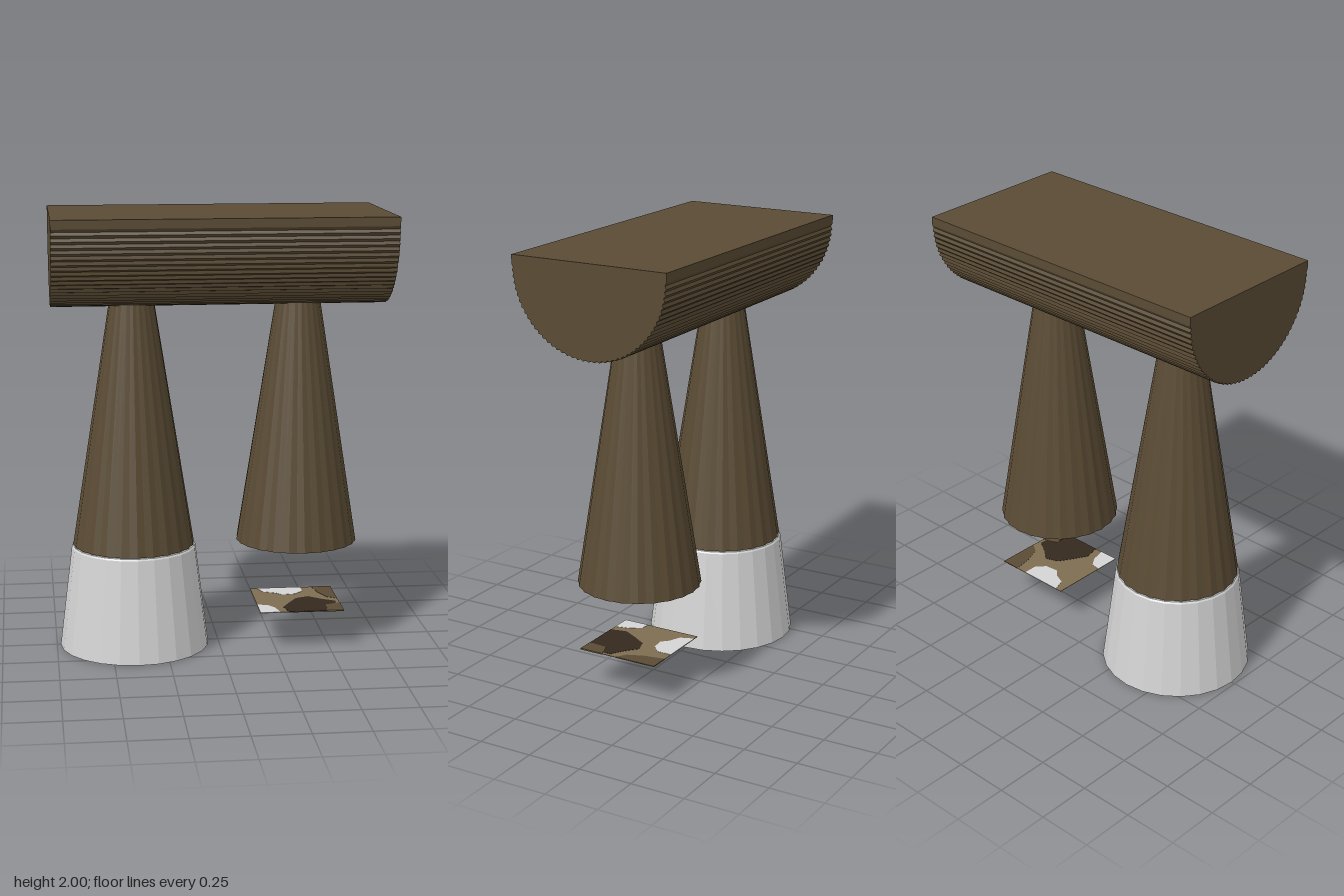
import * as THREE from 'three';

const mat = (name, color, extra = {}) => {
  const m = new THREE.MeshStandardMaterial({ color, ...extra });
  m.name = name;
  return m;
};

export function createModel() {
  const group = new THREE.Group();
  const wood = mat('brown wood', 0x5a4b34, { side: THREE.DoubleSide, flatShading: true });
  const white = mat('pale grey', 0xd4d4d4, { flatShading: true });
  const tan = mat('tan', 0x7e6e52);
  const dark = mat('dark brown', 0x35291f);

  const add = (name, geometry, material, x = 0, y = 0, z = 0) => {
    const mesh = new THREE.Mesh(geometry, material);
    mesh.name = name;
    mesh.position.set(x, y, z);
    group.add(mesh);
  };

  // Half-log seat: flat top, finely notched round underside
  const R = 0.378, cy = 1.96, steps = 44;
  const profile = [new THREE.Vector2(-R, 2)];
  for (let i = 0; i <= steps * 2; i++) {
    const a = Math.PI + (i / (steps * 2)) * Math.PI;
    const r = i % 2 ? R - 0.008 : R;
    profile.push(new THREE.Vector2(Math.cos(a) * r, cy + Math.sin(a) * r));
  }
  profile.push(new THREE.Vector2(R, 2));
  const seat = new THREE.ExtrudeGeometry(new THREE.Shape(profile), { depth: 1.51, bevelEnabled: false });
  seat.translate(0, 0, -0.755).rotateY(Math.PI / 2);
  add('seat', seat, wood);

  // Tapered legs, fluted and open below
  const legXs = [-0.39, 0.365];
  const legGeometry = new THREE.CylinderGeometry(0.1, 0.278, 1.13, 48, 1, true);
  const p = legGeometry.attributes.position;
  for (let i = 0; i < p.count; i++) {
    const k = (i % 49) % 2 ? 0.98 : 1;
    p.setXYZ(i, p.getX(i) * k, p.getY(i), p.getZ(i) * k);
  }
  legXs.forEach((x, i) => add(i ? 'leftLeg' : 'rightLeg', legGeometry, wood, x, 0.48 + 0.565, 0));

  // Pale foot under one leg, with a small bevelled rim
  const foot = new THREE.LatheGeometry(
    [[0, 0], [0.343, 0], [0.285, 0.468], [0.279, 0.476], [0, 0.476]].map(([x, y]) => new THREE.Vector2(x, y)), 24);
  add('foot', foot, white, legXs[0]);

  // Small patchwork tile beneath the other leg; points are (x, z) from -0.5 to 0.5
  const patch = (name, points, thickness, material) => {
    const s = 0.387;
    const shape = new THREE.Shape(points.map(([x, z]) => new THREE.Vector2(x * s, z * s)));
    const g = new THREE.ExtrudeGeometry(shape, { depth: thickness, bevelEnabled: false });
    g.translate(0, 0, -thickness / 2).rotateX(Math.PI / 2);
    add(name, g, material, 0.37, 0.18, 0);
  };
  patch('tile', [[-0.5, -0.5], [0.5, -0.5], [0.5, 0.5], [-0.5, 0.5]], 0.002, tan);
  patch('tilePaleEdge', [[-0.42, -0.5], [0.12, -0.5], [0.12, -0.32], [0.02, -0.22],
    [-0.14, -0.2], [-0.22, -0.28], [-0.36, -0.34]], 0.004, white);
  patch('tilePaleCorner', [[-0.5, 0.18], [-0.38, 0.2], [-0.3, 0.32], [-0.26, 0.5], [-0.5, 0.5]], 0.004, white);
  patch('tileBrownCorner', [[0.26, -0.5], [0.5, -0.5], [0.5, 0.02], [0.38, -0.06], [0.3, -0.26]], 0.004, wood);
  patch('tileBrownEdge', [[0.32, 0.26], [0.5, 0.2], [0.5, 0.5], [0.3, 0.5]], 0.006, wood);
  patch('tileDark', [[-0.16, 0.5], [-0.2, 0.3], [-0.1, 0.12], [0.0, -0.04], [0.16, -0.1],
    [0.3, 0.02], [0.46, 0.12], [0.44, 0.3], [0.34, 0.5]], 0.004, dark);

  return group;
}
